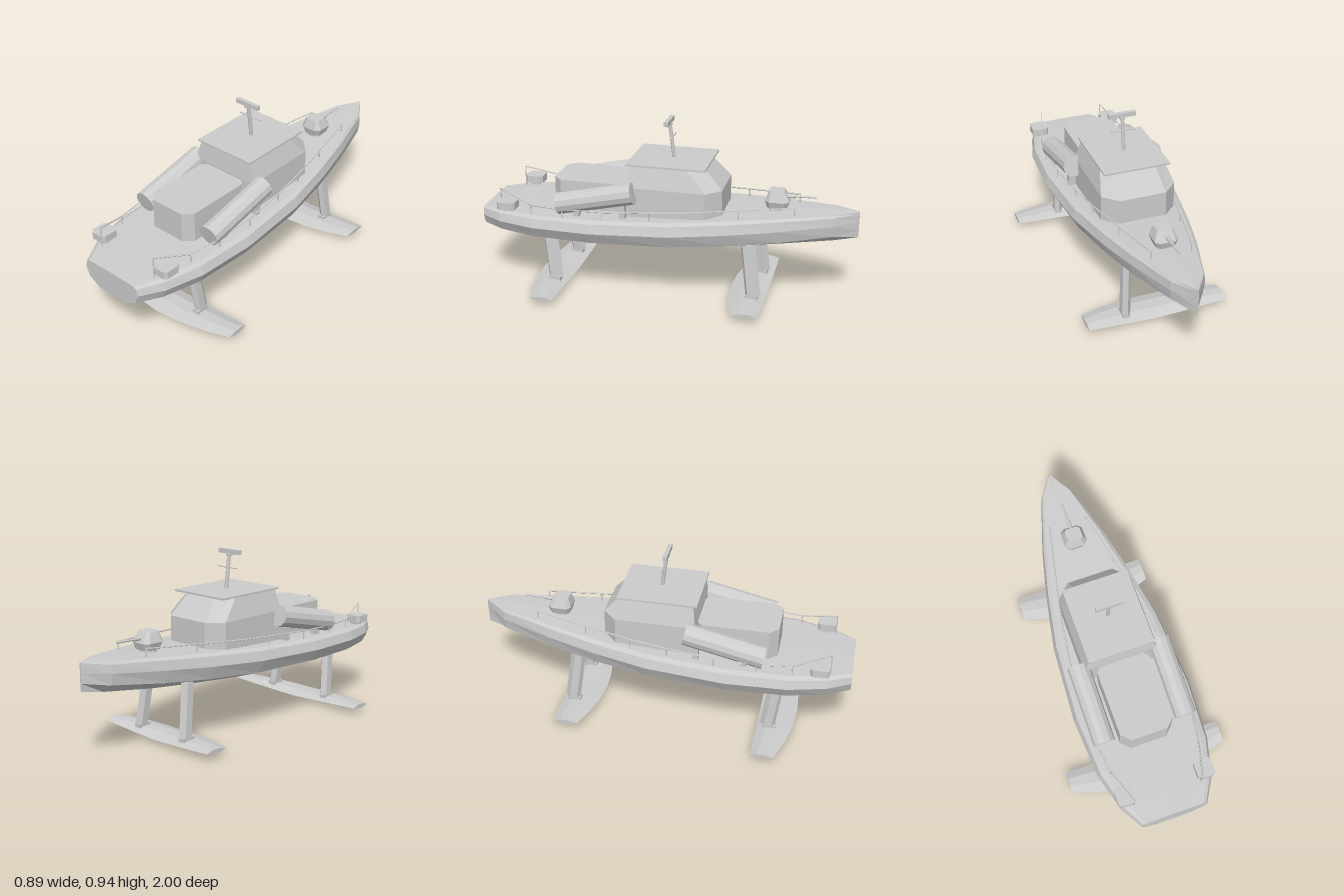
import * as THREE from 'three';

const grey = new THREE.MeshStandardMaterial({ color: 0xcccccc });
grey.name = 'plain grey';
grey.flatShading = true;

// Closed solid through rings of [x, y, z] points, with capped ends
function loft(rings) {
  const n = rings[0].length, tris = [];
  for (let i = 0; i < rings.length - 1; i++) {
    for (let j = 0; j < n; j++) {
      const k = (j + 1) % n, a = rings[i], b = rings[i + 1];
      tris.push([a[j], b[j], b[k]], [a[j], b[k], a[k]]);
    }
  }
  const first = rings[0], last = rings[rings.length - 1];
  for (let j = 1; j < n - 1; j++) {
    tris.push([first[0], first[j], first[j + 1]], [last[0], last[j + 1], last[j]]);
  }
  // Turn the faces outward if the enclosed volume is negative
  let volume = 0;
  for (const [a, b, c] of tris) {
    volume += new THREE.Vector3(...a).dot(new THREE.Vector3(...b).cross(new THREE.Vector3(...c)));
  }
  const pos = tris.flatMap(([a, b, c]) => (volume < 0 ? [a, c, b] : [a, b, c]).flat());
  const g = new THREE.BufferGeometry();
  g.setAttribute('position', new THREE.Float32BufferAttribute(pos, 3));
  g.computeVertexNormals();
  return g;
}

// Horizontal octagon ring with cut corners
function octagon(y, hx, z0, z1, cut) {
  return [[hx, z0 + cut], [hx, z1 - cut], [hx - cut, z1], [cut - hx, z1],
    [-hx, z1 - cut], [-hx, z0 + cut], [cut - hx, z0], [hx - cut, z0]].map(([x, z]) => [x, y, z]);
}

export function createModel() {
  const model = new THREE.Group();
  model.name = 'hydrofoilBoat';
  const add = (name, geometry, x = 0, y = 0, z = 0) => {
    const m = new THREE.Mesh(geometry, grey);
    m.name = name;
    m.position.set(x, y, z);
    model.add(m);
    return m;
  };
  const box = (name, w, h, d, x, y, z) => add(name, new THREE.BoxGeometry(w, h, d), x, y, z);
  const rod = (name, p, q, r, sides = 6) => {
    const a = new THREE.Vector3(...p), b = new THREE.Vector3(...q);
    const m = add(name, new THREE.CylinderGeometry(r, r, a.distanceTo(b), sides));
    m.position.copy(a).add(b).multiplyScalar(0.5);
    m.quaternion.setFromUnitVectors(new THREE.Vector3(0, 1, 0), b.sub(a).normalize());
    return m;
  };

  // Hull stations: z, half width, deck height, keel height, flat bottom share
  const stations = [
    [-1, 0.004, 0.515, 0.375, 0.4], [-0.88, 0.09, 0.51, 0.352, 0.2], [-0.6, 0.178, 0.495, 0.314, 0.25],
    [-0.35, 0.24, 0.478, 0.292, 0.3], [-0.05, 0.298, 0.459, 0.277, 0.4], [0.36, 0.325, 0.442, 0.271, 0.42],
    [0.68, 0.305, 0.434, 0.271, 0.43], [0.88, 0.25, 0.427, 0.277, 0.45], [1, 0.18, 0.42, 0.285, 0.5]];
  add('hull', loft(stations.map(([z, w, top, low, flat]) => {
    const h = top - low;
    const half = [[flat * w, 0], [0.89 * w, 0.28], [w, 0.65], [0.95 * w, 0.93], [0.86 * w, 1]];
    const right = half.map(([x, f]) => [x, low + f * h, z]);
    const left = right.map(([x, y]) => [-x, y, z]).reverse();
    return [...right, [0, top + 0.003, z], ...left];
  })));

  // Wheelhouse with raked upper windscreen
  const cabinRing = (y, hx, back, shoulder, nose, front) => [
    [hx, y, back], [hx, y, shoulder], [nose, y, front], [-nose, y, front], [-hx, y, shoulder], [-hx, y, back]];
  add('wheelhouse', loft([
    cabinRing(0.43, 0.2, 0.19, -0.23, 0.125, -0.305),
    cabinRing(0.61, 0.2, 0.19, -0.23, 0.125, -0.305),
    cabinRing(0.722, 0.168, 0.175, -0.125, 0.1, -0.2)]));
  box('wheelhouseRoof', 0.355, 0.01, 0.42, 0, 0.725, -0.015);

  // Aft deckhouse
  add('deckhouse', loft([octagon(0.42, 0.142, 0.17, 0.61, 0.045), octagon(0.6, 0.142, 0.17, 0.61, 0.045)]));

  // Mast, crossbar and radar bar
  rod('mast', [0, 0.72, -0.022], [0, 0.92, 0.003], 0.01, 8);
  box('mastCrossbar', 0.134, 0.005, 0.008, 0, 0.842, -0.014);
  box('radarBar', 0.146, 0.024, 0.022, 0, 0.924, 0.006);
  box('radarMount', 0.028, 0.012, 0.024, 0, 0.907, 0.003);

  // Bow gun
  add('turretBase', new THREE.CylinderGeometry(0.045, 0.045, 0.04, 12), 0, 0.5, -0.575);
  add('turret', loft([octagon(0.508, 0.05, -0.63, -0.525, 0.018),
    octagon(0.545, 0.062, -0.64, -0.515, 0.022), octagon(0.597, 0.042, -0.61, -0.53, 0.014)]));
  rod('gunSleeve', [0, 0.566, -0.6], [0, 0.568, -0.67], 0.011, 8);
  rod('gunBarrel', [0, 0.568, -0.66], [0, 0.571, -0.775], 0.006, 8);

  // Foils: z of straight edge, root chord, tip chord, half span
  const foils = [['frontFoil', -0.545, 0.205, 0.135, 0.378], ['rearFoil', 0.53, 0.2, 0.12, 0.443]];
  for (const [name, edge, root, tip, span] of foils) {
    add(name, loft([-1, -0.67, -0.33, 0, 0.33, 0.67, 1].map((t) => {
      const chord = root + (tip - root) * t * t;
      const low = 0.001 + 0.027 * Math.abs(t) ** 1.3, high = 0.043 + 0.007 * Math.abs(t);
      const mid = low + 0.45 * (high - low);
      return [[0, mid], [0.3, high], [0.65, high], [1, mid], [0.7, low], [0.25, low]]
        .map(([f, y]) => [t * span, y, edge + f * chord]);
    })));
  }

  for (const s of [1, -1]) {
    // Splayed struts with a blade section: top x, y, z and foot x, z
    const struts = [['frontStrut', 0.145, 0.34, -0.45, 0.165, -0.487], ['rearStrut', 0.172, 0.32, 0.623, 0.192, 0.588]];
    for (const [name, tx, ty, tz, fx, fz] of struts) {
      const blade = (x, y, z) => [[0, -0.04], [0.022, -0.015], [0.022, 0.025], [0, 0.04], [-0.022, 0.025], [-0.022, -0.015]]
        .map(([dx, dz]) => [s * (x + dx), y, z + dz]);
      add(name, loft([blade(tx, ty, tz), blade(fx, 0.058, fz)]));
      box('strutFoot', 0.04, 0.025, 0.07, s * fx, 0.048, fz + 0.01);
    }

    // Inclined launcher canister and its legs
    const tube = add('launcherTube', new THREE.CylinderGeometry(0.058, 0.058, 0.42, 12), s * 0.222, 0.544, 0.347);
    tube.rotation.x = -Math.PI / 2 + 0.22;
    box('launcherFrontLeg', 0.035, 0.1, 0.03, s * 0.222, 0.49, 0.2);
    box('launcherRearLeg', 0.035, 0.05, 0.03, s * 0.222, 0.46, 0.45);

    // Stern lockers
    add('sternLocker', loft([octagon(0.445, 0.046, 0.79, 0.89, 0.015), octagon(0.485, 0.046, 0.79, 0.89, 0.015)]), s * 0.215);
    box('lockerFoot', 0.04, 0.03, 0.05, s * 0.205, 0.435, 0.84);

    // Handrail with stanchions
    const rail = [[0.105, 0.543, -0.68], [0.165, 0.525, -0.4], [0.215, 0.508, -0.15], [0.243, 0.498, 0.05],
      [0.268, 0.488, 0.3], [0.265, 0.48, 0.52], [0.24, 0.48, 0.7], [0.182, 0.537, 0.89]];
    rail.forEach(([x, y, z], i) => {
      const foot = z > 0.8 ? 0.425 : 0.455 - 0.06 * z - 0.012;
      rod('railPost', [s * x, foot, z], [s * x, y, z], 0.0035, 5);
      if (i) {
        const [px, py, pz] = rail[i - 1];
        rod('handrail', [s * px, py, pz], [s * x, y, z], 0.004, 5);
      }
    });
  }
  return model;
}
